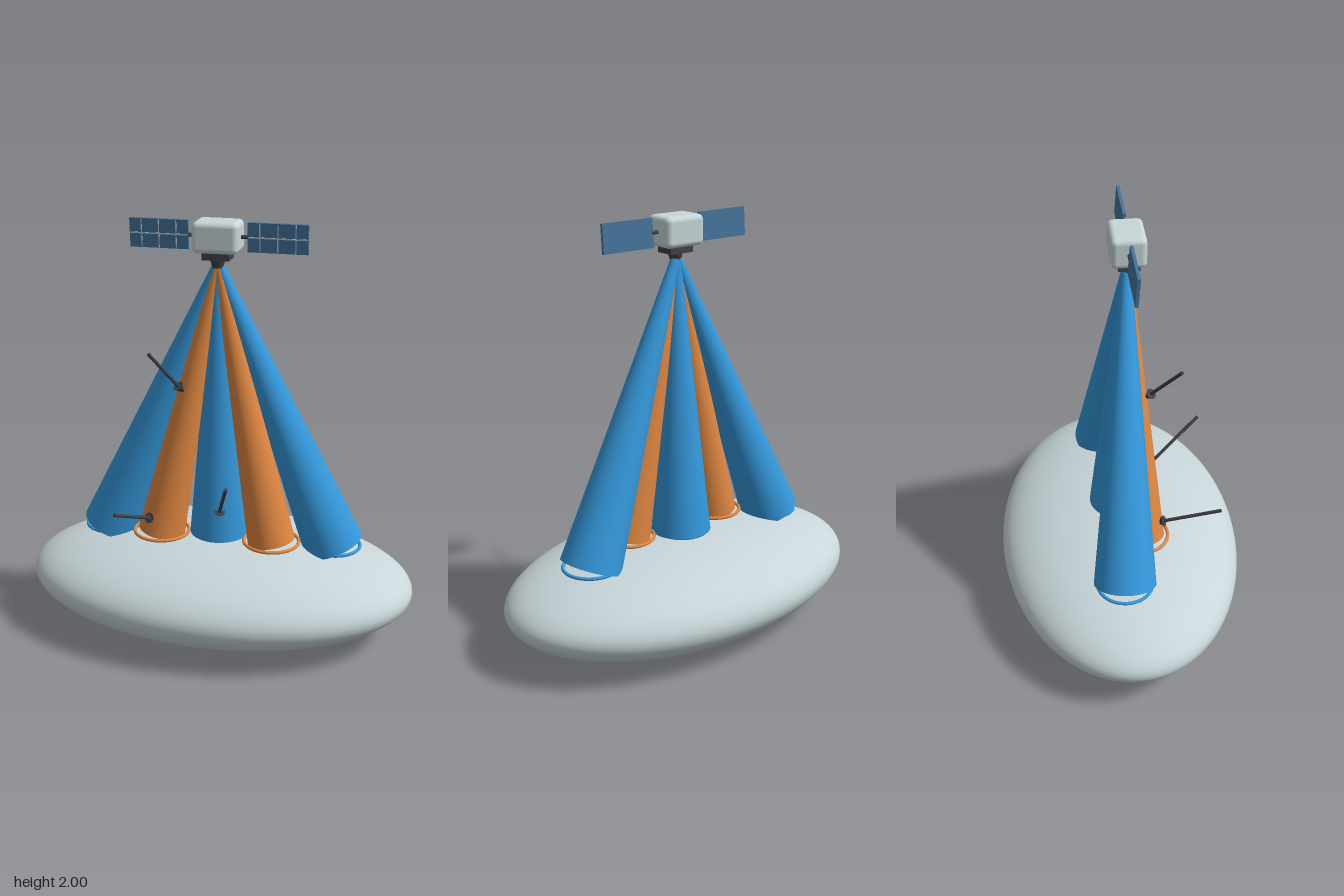
import * as THREE from 'three';
import { RoundedBoxGeometry } from 'three/addons/geometries/RoundedBoxGeometry.js';

const paint = (name, color) => {
  const m = new THREE.MeshStandardMaterial({ color });
  m.name = name;
  return m;
};

export function createModel() {
  const silver = paint('silver', 0xc8d6d9);
  const blue = paint('beamBlue', 0x3498db);
  const orange = paint('beamOrange', 0xdf8640);
  const dark = paint('darkMetal', 0x414148);
  const panelBlue = paint('panelBlue', 0x44739a);
  const gridPale = paint('gridPale', 0xb4c6d0);

  const model = new THREE.Group();
  model.name = 'satelliteWithBeams';
  const V = (x, y, z) => new THREE.Vector3(x, y, z);
  const UP = V(0, 1, 0);

  const add = (name, geometry, material, pos, parent = model) => {
    const mesh = new THREE.Mesh(geometry, material);
    mesh.name = name;
    mesh.position.copy(pos);
    parent.add(mesh);
    return mesh;
  };

  // Tapered round bar running from one point (radius ra) to another (radius rb)
  const bar = (name, a, b, ra, rb, material, sides = 48) => {
    const geometry = new THREE.CylinderGeometry(rb, ra, a.distanceTo(b), sides);
    const mesh = add(name, geometry, material, a.clone().add(b).multiplyScalar(0.5));
    mesh.quaternion.setFromUnitVectors(UP, b.clone().sub(a).normalize());
    return mesh;
  };

  // Ground: flattened ellipsoid
  const ground = add('ground', new THREE.SphereGeometry(1, 96, 64), silver, V(0, 0.245, 0));
  ground.scale.set(0.942, 0.241, 0.587);

  // Satellite body and the sensor beneath it
  const zs = 0.035;
  add('satelliteBody', new RoundedBoxGeometry(0.21, 0.14, 0.155, 4, 0.025), silver, V(0, 1.93, zs));
  add('sensorMount', new THREE.BoxGeometry(0.125, 0.035, 0.095), dark, V(0, 1.846, zs + 0.005));
  add('sensorLens', new THREE.CylinderGeometry(0.036, 0.024, 0.042, 32), dark, V(0, 1.81, zs + 0.005));

  // Solar wings with grid lines on the front face
  for (const [side, s] of [['left', 1], ['right', -1]]) {
    bar(side + 'Boom', V(s * 0.095, 1.93, zs), V(s * 0.14, 1.93, zs), 0.009, 0.009, dark, 16);
    const wing = new THREE.Group();
    wing.name = side + 'SolarWing';
    wing.position.set(s * 0.27, 1.93, zs);
    wing.rotation.x = 0.07;
    model.add(wing);
    add('solarPanel', new THREE.BoxGeometry(0.27, 0.132, 0.014), panelBlue, V(0, 0, 0), wing);
    for (const x of [-0.08, 0, 0.08])
      add('gridLine', new THREE.BoxGeometry(0.005, 0.126, 0.003), gridPale, V(x, 0, 0.008), wing);
    add('gridLine', new THREE.BoxGeometry(0.264, 0.006, 0.003), gridPale, V(0, 0, 0.008), wing);
  }

  // Beams fanning out from the sensor, each with a footprint ring
  const apex = V(0, 1.81, zs);
  const beams = [
    ['leftOuter', V(0.552, 0.456, -0.028), 0.145, blue, 0.128],
    ['leftInner', V(0.27, 0.492, 0.077), 0.113, orange, 0.131],
    ['middle', V(0, 0.485, 0), 0.143, blue, 0.128],
    ['rightInner', V(-0.27, 0.492, 0.077), 0.113, orange, 0.131],
    ['rightOuter', V(-0.552, 0.456, -0.028), 0.145, blue, 0.128],
  ];
  for (const [name, foot, r, material, ringRadius] of beams) {
    bar(name + 'Beam', foot, apex, r, 0.02, material, 64);
    const ring = add(name + 'Ring', new THREE.TorusGeometry(ringRadius, 0.008, 12, 64), material, foot);
    ring.rotation.x = Math.PI / 2;
  }

  // Pointers with arrowheads aimed at the beams
  const pointers = [
    ['upper', V(-0.267, 1.43, 0.25), V(-0.165, 1.25, 0.13)],
    ['lower', V(-0.387, 0.715, 0.438), V(-0.302, 0.597, 0.185)],
    ['middle', V(0.123, 0.877, 0.402), V(0.03, 0.642, 0.13)],
  ];
  for (const [name, start, end] of pointers) {
    const tip = end.clone().add(end.clone().sub(start).setLength(0.05));
    bar(name + 'PointerShaft', start, end, 0.008, 0.008, dark, 16);
    bar(name + 'PointerHead', end, tip, 0.025, 0, dark, 24);
  }

  return model;
}
